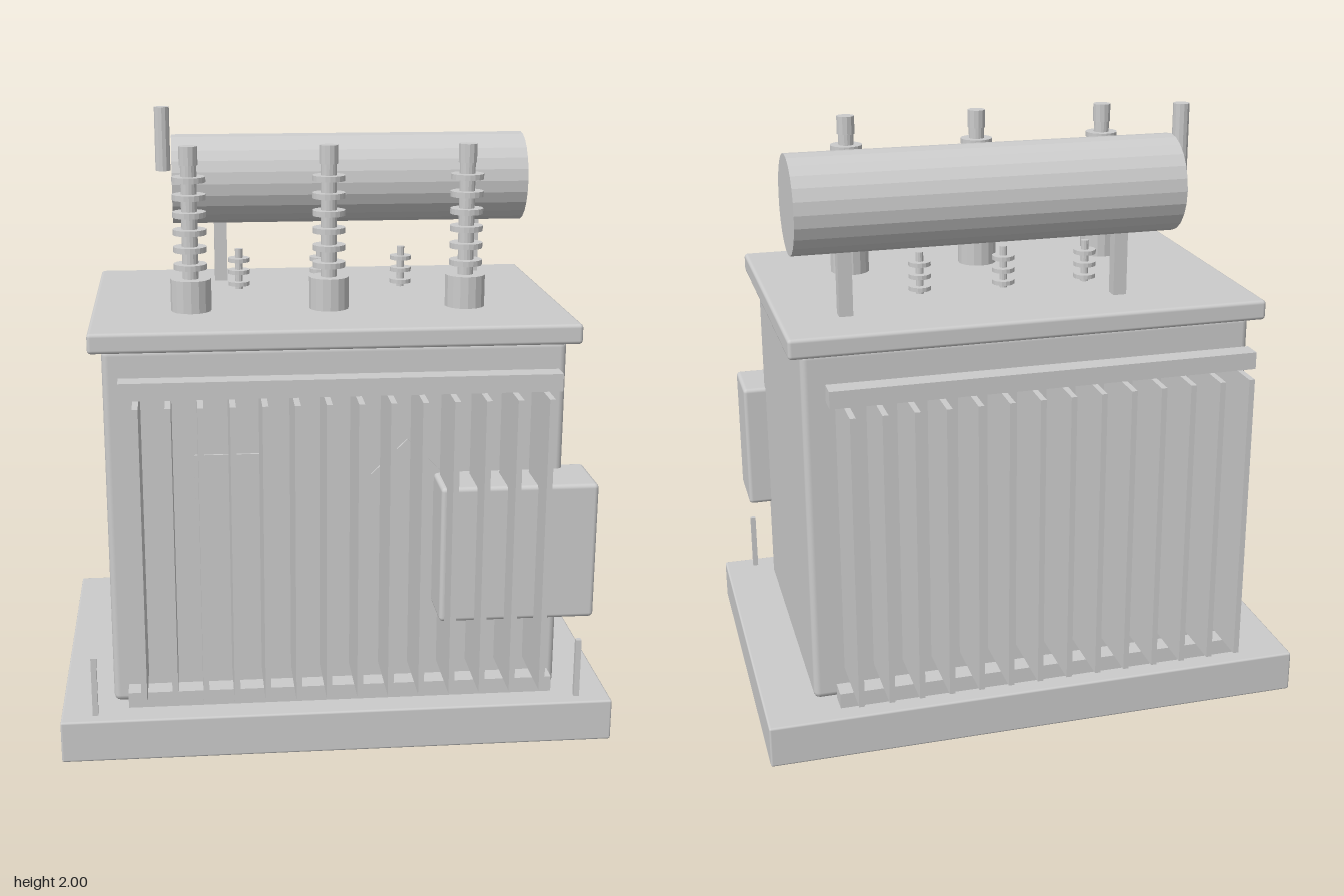
import * as THREE from 'three';
import { RoundedBoxGeometry } from 'three/addons/geometries/RoundedBoxGeometry.js';

const grey = new THREE.MeshStandardMaterial({ color: 0xcccccc });
const faceted = new THREE.MeshStandardMaterial({ color: 0xcccccc, flatShading: true });

export function createModel() {
  const model = new THREE.Group();
  model.name = 'transformer';

  const add = (name, geometry, x, y, z, parent = model, material = grey) => {
    const mesh = new THREE.Mesh(geometry, material);
    mesh.name = name;
    mesh.position.set(x, y, z);
    parent.add(mesh);
    return mesh;
  };
  // Boxes and upright cylinders are placed by their bottom and top heights
  const box = (name, w, d, y0, y1, x, z, parent) =>
    add(name, new THREE.BoxGeometry(w, y1 - y0, d), x, (y0 + y1) / 2, z, parent);
  const rounded = (name, w, d, y0, y1, x, z, r) =>
    add(name, new RoundedBoxGeometry(w, y1 - y0, d, 2, r), x, (y0 + y1) / 2, z);
  const rod = (name, r, y0, y1, x, z, parent, sides = 16) =>
    add(name, new THREE.CylinderGeometry(r, r, y1 - y0, sides), x, (y0 + y1) / 2, z, parent, faceted);
  const group = (name, x = 0, y = 0, z = 0) => {
    const g = new THREE.Group();
    g.name = name;
    g.position.set(x, y, z);
    model.add(g);
    return g;
  };

  // Plinth, tank and lid
  rounded('base', 1.8, 1.23, 0, 0.14, 0, 0, 0.007);
  rounded('tank', 1.465, 0.96, 0.14, 1.33, 0, 0, 0.022);
  rounded('lid', 1.545, 1.04, 1.325, 1.39, 0, 0, 0.012);

  // Radiator banks, front and back
  for (const side of [1, -1]) {
    const bank = group(side > 0 ? 'frontRadiator' : 'backRadiator');
    for (let i = 0; i < 14; i++) {
      box('fin', 0.018, 0.25, 0.26, 1.215, -0.625 + i * 0.0962, side * 0.63, bank);
    }
    box('upperHeader', 1.355, 0.065, 1.215, 1.27, 0, side * 0.632, bank);
    box('lowerHeader', 1.355, 0.065, 0.21, 0.26, 0, side * 0.632, bank);
  }

  // Control cabinet and plates on the front
  rounded('controlBox', 0.5, 0.22, 0.455, 0.905, 0.562, 0.537, 0.014);
  box('ratingPlate', 0.225, 0.008, 0.825, 0.985, -0.34, 0.484);
  const sign = box('warningPlate', 0.163, 0.008, 0.824, 0.987, 0.225, 0.484);
  sign.rotation.z = Math.PI / 4;

  // Earthing posts
  for (const x of [-0.79, 0.79]) box('earthPost', 0.018, 0.018, 0.13, 0.34, x, 0.563);

  // Oil conservator with its supports and breather
  const drum = add('conservator', new THREE.CylinderGeometry(0.155, 0.155, 1.235, 24),
    0.112, 1.75, -0.31, model, faceted);
  drum.rotation.z = Math.PI / 2;
  for (const x of [-0.34, 0.56]) box('conservatorLeg', 0.044, 0.044, 1.38, 1.62, x, -0.308);
  rod('breatherPipe', 0.026, 1.78, 2, -0.536, -0.31, model, 12);

  // High-voltage bushings
  for (const x of [-0.45, 0, 0.45]) {
    const b = group('highVoltageBushing', x, 1.39, 0.197);
    rod('turret', 0.066, -0.01, 0.105, 0, 0, b);
    rod('core', 0.026, 0.1, 0.475, 0, 0, b);
    rod('terminal', 0.03, 0.47, 0.53, 0, 0, b, 12);
    for (let i = 0; i < 6; i++) {
      const y = 0.145 + i * 0.056;
      rod('shed', 0.054, y - 0.009, y + 0.009, 0, 0, b, 20);
    }
  }

  // Low-voltage bushings
  for (const x of [-0.282, 0, 0.282]) {
    const b = group('lowVoltageBushing', x, 1.39, -0.14);
    rod('stem', 0.013, -0.01, 0.14, 0, 0, b, 12);
    for (let i = 0; i < 3; i++) {
      const y = 0.02 + i * 0.041;
      rod('shed', 0.037, y - 0.007, y + 0.007, 0, 0, b);
    }
  }

  return model;
}
